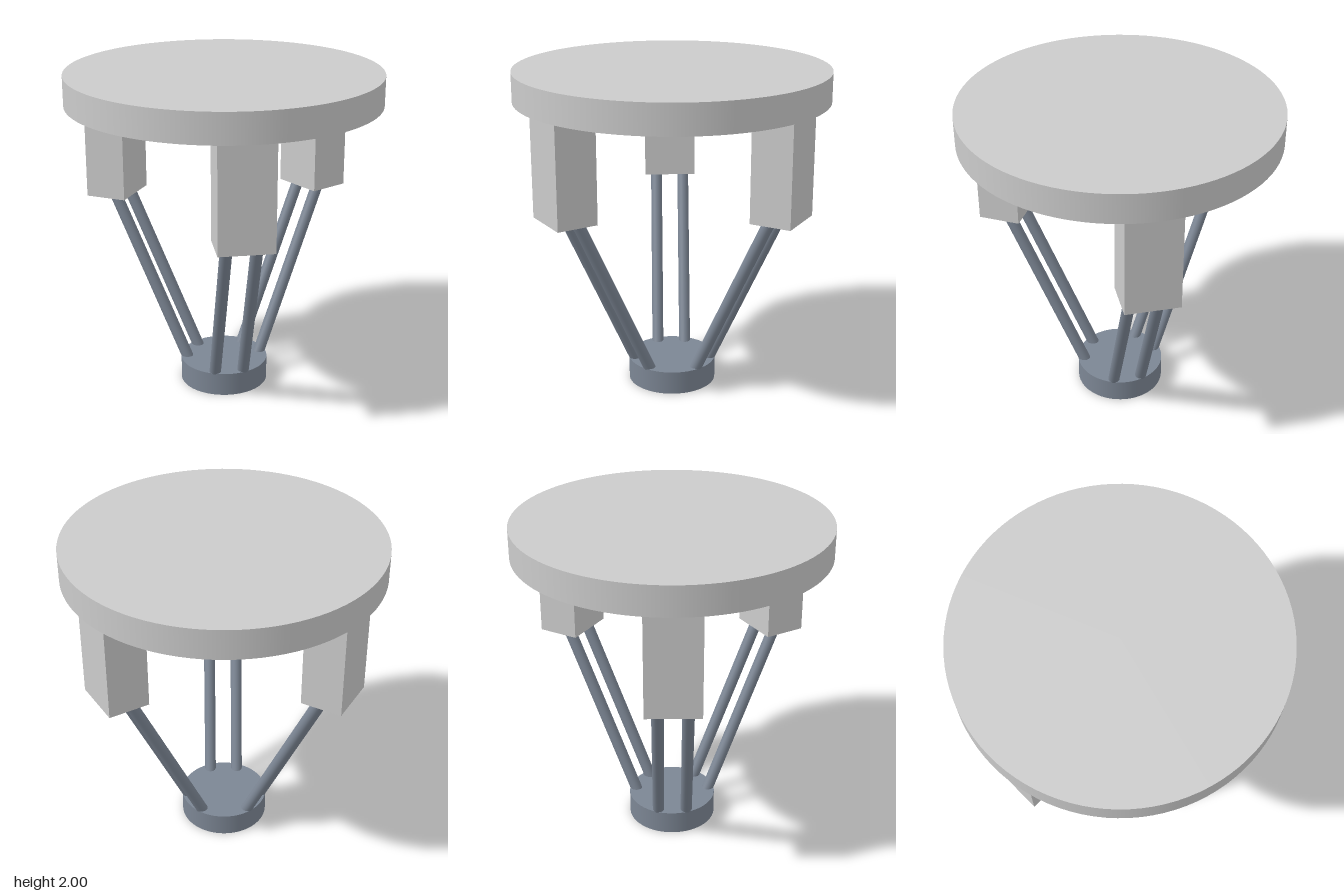
import * as THREE from 'three';

export function createModel() {
  const model = new THREE.Group();
  model.name = 'deltaRobot';
  const grey = new THREE.MeshStandardMaterial({ color: 0xcccccc });
  const steel = new THREE.MeshStandardMaterial({ color: 0x7c8694 });

  const add = (parent, name, geometry, material, x, y, z) => {
    const mesh = new THREE.Mesh(geometry, material);
    mesh.name = name;
    mesh.position.set(x, y, z);
    parent.add(mesh);
    return mesh;
  };

  // Fixed mounting plate at the top and moving platform at the bottom
  add(model, 'basePlate', new THREE.CylinderGeometry(0.945, 0.945, 0.18, 96), grey, 0, 1.91, 0);
  add(model, 'movingPlatform', new THREE.CylinderGeometry(0.273, 0.273, 0.145, 64), steel, 0, 0.0725, 0);

  // Three identical arms, 120 degrees apart: a motor block and a pair of rods
  const blockGeometry = new THREE.BoxGeometry(0.255, 0.65, 0.325);
  const up = new THREE.Vector3(0, 1, 0);
  for (let i = 0; i < 3; i++) {
    const arm = new THREE.Group();
    arm.name = `arm${i + 1}`;
    arm.rotation.y = (i * Math.PI * 2) / 3;
    add(arm, 'motorBlock', blockGeometry, grey, 0.727, 1.495, 0);

    for (const z of [-0.088, 0.088]) {
      // Rod ends are sunk into the platform and the block
      const bottom = new THREE.Vector3(0.187, 0.073, z);
      const top = new THREE.Vector3(0.727, 1.25, z);
      const axis = top.clone().sub(bottom);
      const middle = bottom.clone().add(top).multiplyScalar(0.5);
      const rodGeometry = new THREE.CylinderGeometry(0.036, 0.036, axis.length(), 24);
      const rod = add(arm, 'rod', rodGeometry, steel, middle.x, middle.y, middle.z);
      rod.quaternion.setFromUnitVectors(up, axis.normalize());
    }
    model.add(arm);
  }
  return model;
}
